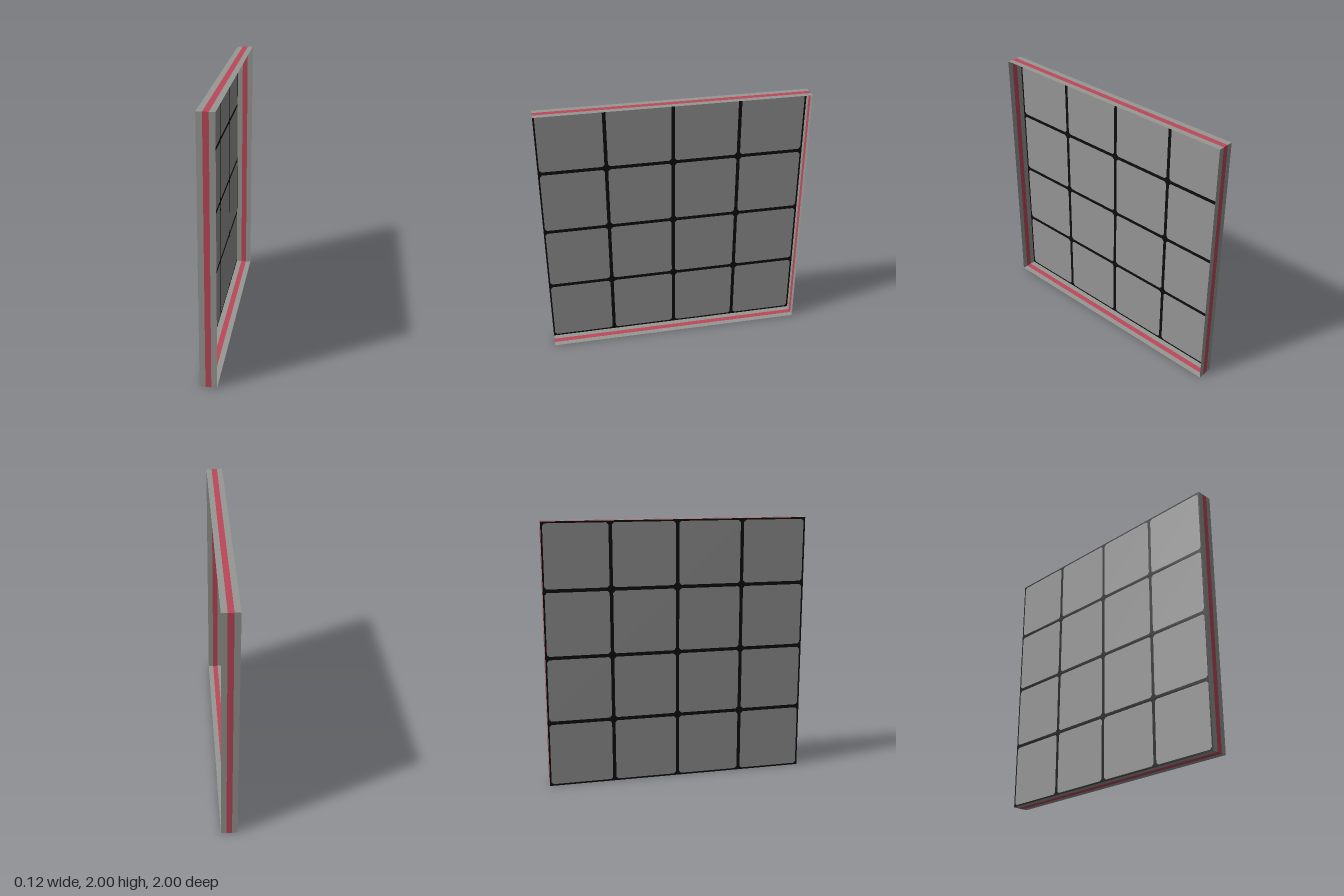
import * as THREE from 'three';

const material = (name, color, double = true) => {
  const m = new THREE.MeshStandardMaterial({ color });
  m.name = name;
  if (double) m.side = THREE.DoubleSide;
  return m;
};

const HALF = 1;         // half of the square panel
const DEPTH = 0.125;    // depth of the surrounding frame
const CELL = 0.5;       // pitch of the tiles
const GAP = 0.013;      // half width of the joints
const CUT = 0.016;      // corner cut of each tile

// Square outline with cut corners, centred on (cx, cy)
function cutSquare(Type, cx, cy, h, c) {
  const pts = [
    [-h + c, -h], [h - c, -h], [h, -h + c], [h, h - c],
    [h - c, h], [-h + c, h], [-h, h - c], [-h, -h + c],
  ].map(([x, y]) => new THREE.Vector2(cx + x, cy + y));
  return new Type(pts);
}

export function createModel() {
  const group = new THREE.Group();
  const frameGrey = material('frameGrey', 0x979793);
  const tileGrey = material('tileGrey', 0x969696);
  const stripeRed = material('stripeRed', 0xbc485a);
  const jointBlack = material('jointBlack', 0x0e0e0e);

  // Tiled wall on the -x side: tiles set into the holes of a joint grid
  const grid = new THREE.Shape([
    new THREE.Vector2(-HALF, -HALF), new THREE.Vector2(HALF, -HALF),
    new THREE.Vector2(HALF, HALF), new THREE.Vector2(-HALF, HALF),
  ]);
  const tiles = [];
  for (let i = 0; i < 4; i++) {
    for (let j = 0; j < 4; j++) {
      const cx = (i - 1.5) * CELL, cy = (j - 1.5) * CELL;
      tiles.push(cutSquare(THREE.Shape, cx, cy, CELL / 2 - GAP, CUT));
      grid.holes.push(cutSquare(THREE.Path, cx, cy, CELL / 2 - GAP, CUT));
    }
  }
  const wall = new THREE.Group();
  wall.name = 'tiledWall';
  const joints = new THREE.Mesh(new THREE.ShapeGeometry(grid), jointBlack);
  joints.name = 'joints';
  const tileMesh = new THREE.Mesh(new THREE.ShapeGeometry(tiles), tileGrey);
  tileMesh.name = 'tiles';
  wall.add(joints, tileMesh);
  wall.rotation.y = Math.PI / 2;
  wall.position.set(-DEPTH / 2, HALF, 0);
  group.add(wall);

  // Thin frame: four sides, each of a red stripe between two grey ones
  const strip = DEPTH / 3;
  ['frontSide', 'topSide', 'backSide', 'bottomSide'].forEach((name, k) => {
    const side = new THREE.Group();
    side.name = name;
    for (let s = -1; s <= 1; s++) {
      const band = new THREE.Mesh(
        new THREE.PlaneGeometry(strip, 2 * HALF).translate(s * strip, 0, HALF),
        s === 0 ? stripeRed : frameGrey);
      band.name = s === 0 ? 'redStripe' : 'greyStripe';
      side.add(band);
    }
    side.rotation.x = -k * Math.PI / 2;
    side.position.y = HALF;
    group.add(side);
  });

  return group;
}
